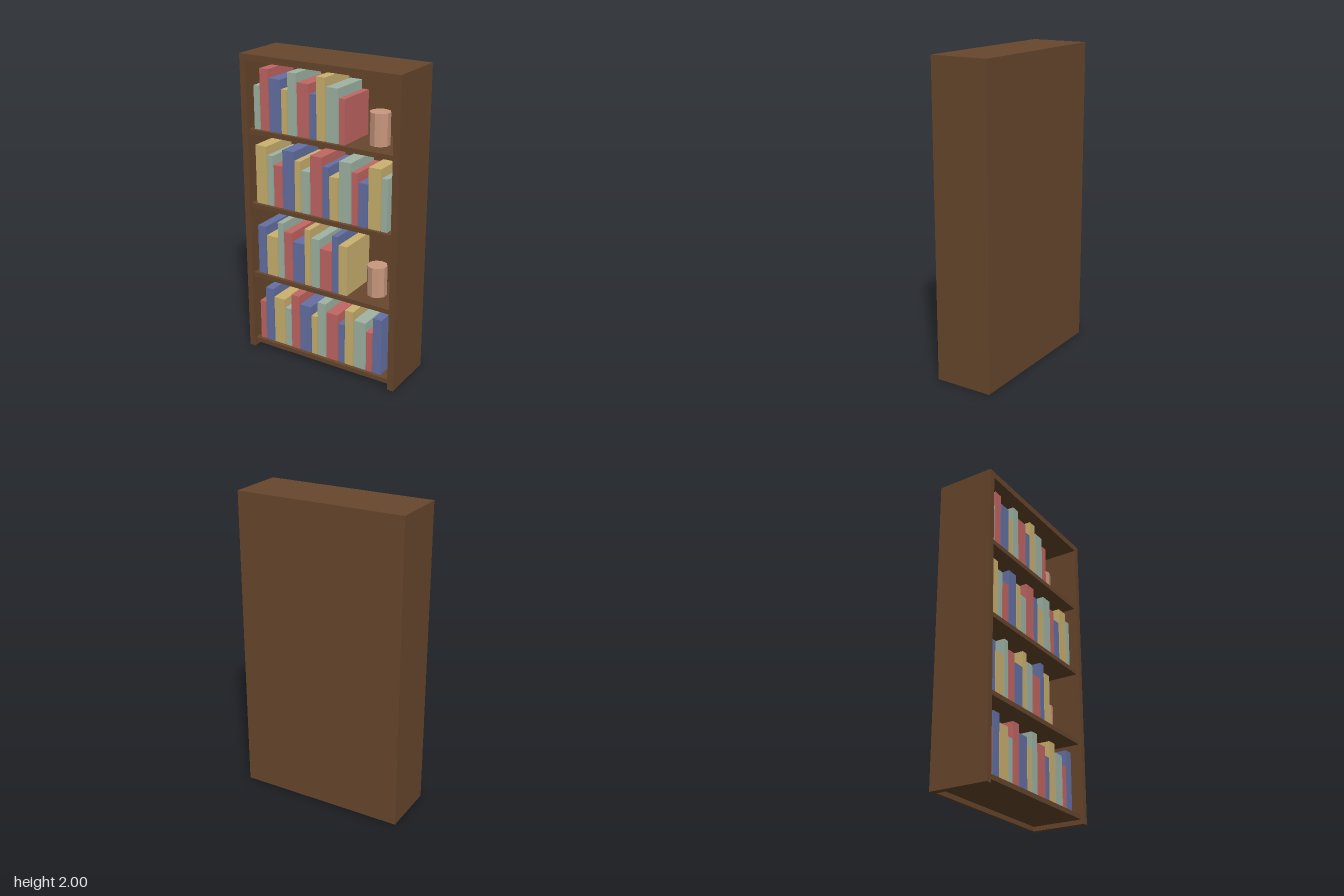
import * as THREE from 'three';

const mat = (name, color) => {
  const m = new THREE.MeshStandardMaterial({ color });
  m.name = name;
  return m;
};

export function createModel() {
  const model = new THREE.Group();
  model.name = 'bookcase';

  const wood = mat('walnut wood', 0x68472d);
  const clay = mat('clay', 0xc9987d);
  clay.flatShading = true;
  const red = mat('red cover', 0xc26764);
  const blue = mat('blue cover', 0x6571a4);
  const yellow = mat('yellow cover', 0xcbb26f);
  const green = mat('green cover', 0xa0b4a4);

  // Box given by its lower and upper corners
  const box = (parent, name, material, [x0, y0, z0], [x1, y1, z1]) => {
    const mesh = new THREE.Mesh(new THREE.BoxGeometry(x1 - x0, y1 - y0, z1 - z0), material);
    mesh.position.set((x0 + x1) / 2, (y0 + y1) / 2, (z0 + z1) / 2);
    mesh.name = name;
    parent.add(mesh);
  };

  // Carcass
  const W = 0.553, D = 0.19, inner = 0.511;
  box(model, 'leftSide', wood, [inner, 0, -D], [W, 2, D]);
  box(model, 'rightSide', wood, [-W, 0, -D], [-inner, 2, D]);
  box(model, 'topBoard', wood, [-inner, 1.958, -D], [inner, 2, D]);
  box(model, 'backPanel', wood, [-inner, 0, -D], [inner, 1.958, -D + 0.02]);

  // Books repeat three sizes and four colours, each row starting elsewhere in the cycle
  const sizes = [[0.04, 0.277], [0.06, 0.386], [0.082, 0.333]];
  const wideSizes = [[0.082, 0.386], [0.04, 0.333], [0.06, 0.277]];
  const mixedSizes = [[0.06, 0.333], [0.082, 0.277], [0.04, 0.386]];
  const rows = [
    { top: 0.06, count: 14, sizes, colours: [red, blue, yellow, green] },
    { top: 0.548, count: 10, sizes: mixedSizes, colours: [blue, yellow, green, red], pot: true },
    { top: 1.038, count: 14, sizes: wideSizes, colours: [yellow, green, red, blue] },
    { top: 1.528, count: 10, sizes, colours: [green, red, blue, yellow], pot: true },
  ];

  rows.forEach((row, r) => {
    box(model, `shelf${r + 1}`, wood, [-inner, row.top - 0.03, -D + 0.02], [inner, row.top, 0.172]);

    const books = new THREE.Group();
    books.name = `bookRow${r + 1}`;
    let x = -0.484;
    for (let i = 0; i < row.count; i++) {
      const [w, h] = row.sizes[i % 3];
      box(books, `book${i + 1}`, row.colours[i % 4], [x, row.top, -0.125], [x + w, row.top + h, 0.15]);
      x += w + 0.0075;
    }
    model.add(books);

    // Faceted pot in the gap beside the shorter rows
    if (row.pot) {
      const pot = new THREE.Mesh(new THREE.CylinderGeometry(0.064, 0.064, 0.199, 10), clay);
      pot.position.set(0.331, row.top + 0.0995, 0.018);
      pot.name = `pot${r + 1}`;
      model.add(pot);
    }
  });

  return model;
}
